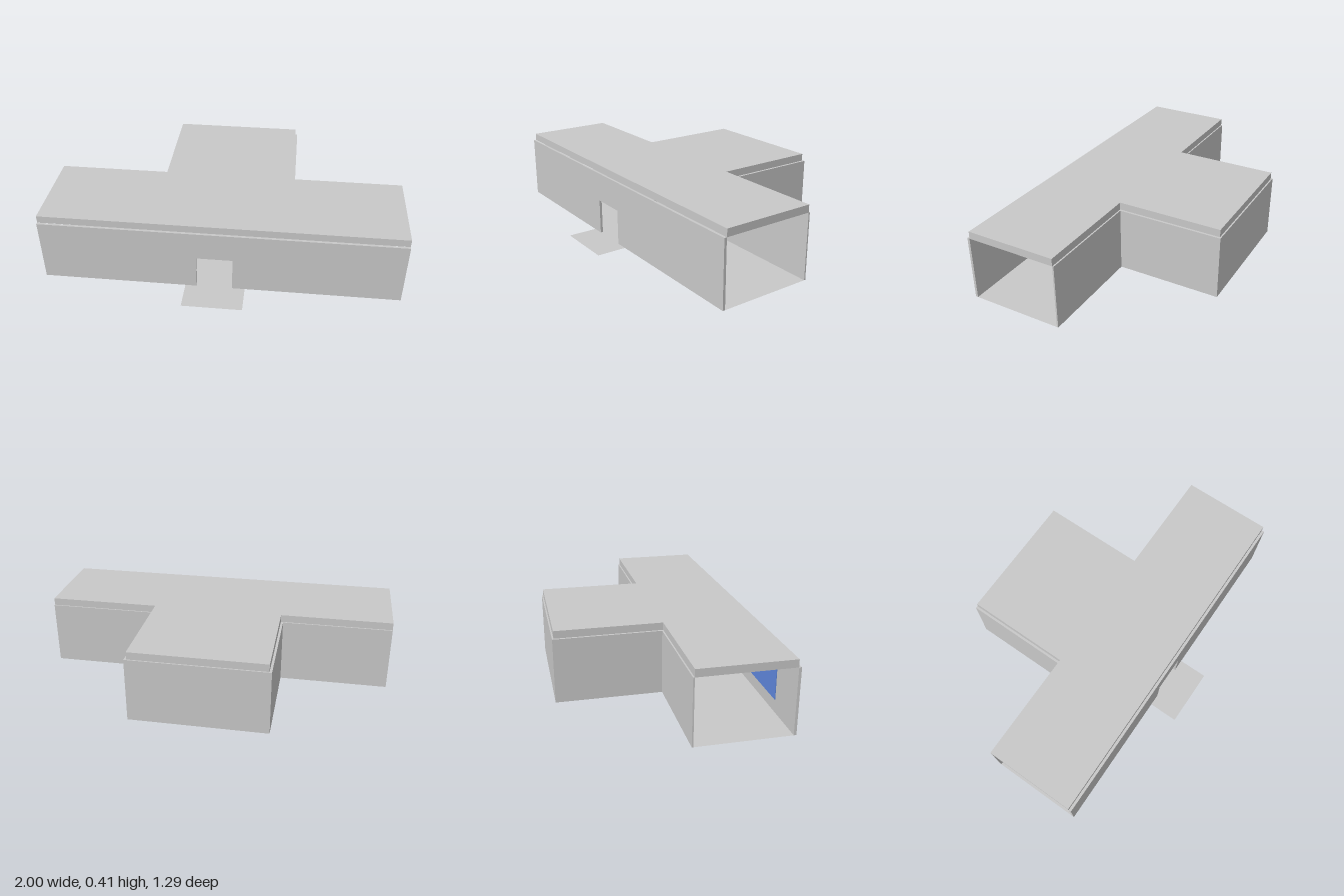
import * as THREE from 'three';

const wallGrey = new THREE.MeshStandardMaterial({ color: 0xc8c8c8 });
wallGrey.name = 'light grey';
const sheetGrey = new THREE.MeshStandardMaterial({ color: 0xc8c8c8, side: THREE.DoubleSide });
sheetGrey.name = 'light grey sheet';
const panelBlue = new THREE.MeshStandardMaterial({ color: 0x5f87dd });
panelBlue.name = 'panel blue';

const WALL_TOP = 0.365, ROOF_TOP = 0.407, COUNTER_TOP = 0.09;

export function createModel() {
  const model = new THREE.Group();

  function add(name, geometry, material = wallGrey) {
    const mesh = new THREE.Mesh(geometry, material);
    mesh.name = name;
    model.add(mesh);
    return mesh;
  }

  // Box given by its extents on each axis
  function block(name, x0, x1, y0, y1, z0, z1, material) {
    const geometry = new THREE.BoxGeometry(x1 - x0, y1 - y0, z1 - z0);
    geometry.translate((x0 + x1) / 2, (y0 + y1) / 2, (z0 + z1) / 2);
    return add(name, geometry, material);
  }

  // Plans are drawn in x and -z, then laid flat
  const lay = (geometry, y) => geometry.rotateX(-Math.PI / 2).translate(0, y, 0);

  // T-shaped plan: wide bar in front, stem behind
  function tPlan(front, barBack, stemBack, stemHalf) {
    return new THREE.Shape([
      [-1, -front], [1, -front], [1, -barBack], [stemHalf, -barBack],
      [stemHalf, -stemBack], [-stemHalf, -stemBack], [-stemHalf, -barBack], [-1, -barBack],
    ].map(([x, y]) => new THREE.Vector2(x, y)));
  }

  // D-shaped counter outline with a bowed front
  function counterOutline(inset) {
    const w = 0.155 - inset, side = 0.17, front = 0.067 + inset, back = 0.395 - inset;
    const s = side - front, r = (w * w + s * s) / (2 * s), cy = front + r;
    const a = Math.atan2(side - cy, w);
    const shape = new THREE.Shape();
    shape.moveTo(w, back);
    shape.lineTo(w, side);
    shape.absarc(0, cy, r, a, -Math.PI - a, true);
    shape.lineTo(-w, back);
    shape.closePath();
    return shape;
  }

  // Upright band following an outline
  function band(shape, height) {
    const pts = shape.getPoints(20), pos = [];
    pts.forEach((p, i) => {
      const q = pts[(i + 1) % pts.length];
      if (p.distanceTo(q) < 1e-5) return;
      pos.push(p.x, 0, -p.y, q.x, 0, -q.y, q.x, height, -q.y);
      pos.push(p.x, 0, -p.y, q.x, height, -q.y, p.x, height, -p.y);
    });
    const geometry = new THREE.BufferGeometry();
    geometry.setAttribute('position', new THREE.Float32BufferAttribute(pos, 3));
    geometry.computeVertexNormals();
    return geometry;
  }

  // Floor, open beneath the hollow counter
  const outer = counterOutline(0), inner = counterOutline(0.035);
  const floor = tPlan(0.477, -0.057, -0.647, 0.385);
  floor.holes.push(outer);
  add('floor', lay(new THREE.ShapeGeometry([floor, inner], 20), 0), sheetGrey);

  // Entrance mat
  const mat = new THREE.PlaneGeometry(0.335, 0.168).translate(-0.0275, -0.561, 0);
  add('entrancePath', lay(mat, 0), sheetGrey);

  // Front wall with doorway
  const front = new THREE.Shape([
    [-1, 0], [-0.13, 0], [-0.13, 0.2], [0.07, 0.2], [0.07, 0], [1, 0], [1, WALL_TOP], [-1, WALL_TOP],
  ].map(([x, y]) => new THREE.Vector2(x, y)));
  add('frontWall', new THREE.ExtrudeGeometry(front, { depth: 0.014, bevelEnabled: false }).translate(0, 0, 0.463));

  // Rear walls of the bar, and walls of the stem
  for (const s of [-1, 1]) {
    const a = [s * 0.372, s].sort((p, q) => p - q);
    block('barRearWall', a[0], a[1], 0, WALL_TOP, -0.057, -0.049);
    const b = [s * 0.372, s * 0.385].sort((p, q) => p - q);
    block('stemSideWall', b[0], b[1], 0, WALL_TOP, -0.647, -0.057);
  }
  block('stemRearWall', -0.372, 0.372, 0, WALL_TOP, -0.647, -0.639);

  // Roof slab, slightly set in from the walls
  const roof = tPlan(0.462, -0.049, -0.639, 0.372);
  add('roof', lay(new THREE.ExtrudeGeometry(roof, { depth: ROOF_TOP - WALL_TOP, bevelEnabled: false }), WALL_TOP));

  // Reception counter: hollow ring with a top
  add('counterOuterFace', band(outer, COUNTER_TOP), sheetGrey);
  add('counterInnerFace', band(inner, COUNTER_TOP), sheetGrey);
  const top = counterOutline(0);
  top.holes.push(inner);
  add('counterTop', lay(new THREE.ShapeGeometry(top, 20), COUNTER_TOP), sheetGrey);
  block('monitor', -0.04, 0.04, COUNTER_TOP, 0.16, -0.095, -0.085);

  // Blue panel on the inside of the front wall
  block('wallPanel', -0.75, -0.35, 0.073, 0.27, 0.459, 0.463, panelBlue);

  return model;
}
